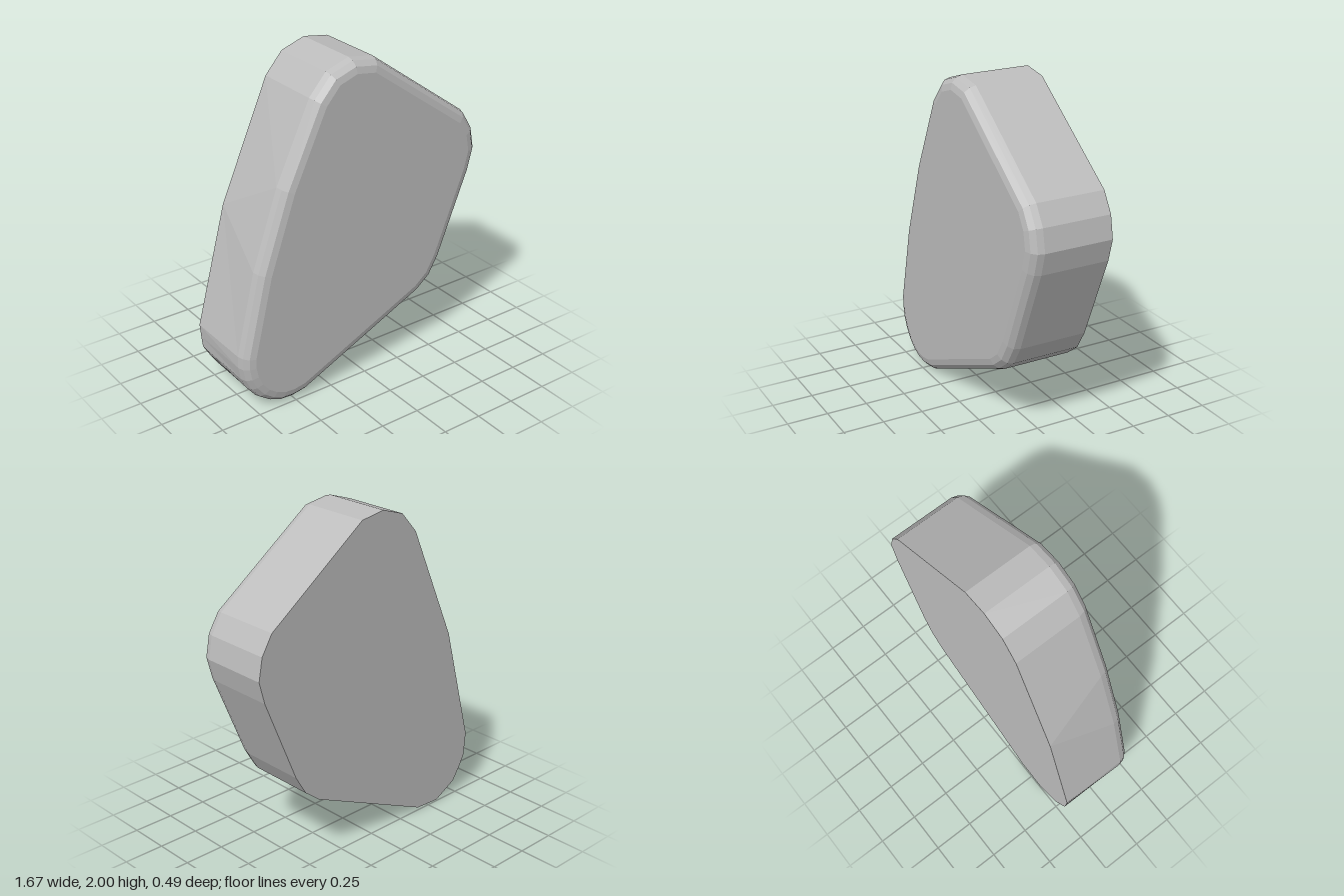
import * as THREE from 'three';

// Front outline, counterclockwise; optional 3rd/4th values give the matching back corner where it differs
const OUTLINE = [
  [-0.41, 0.02], [-0.5, 0.005, -0.495, 0.015], [-0.58, 0.01], [-0.66, 0.04, -0.655, 0.05],
  [-0.73, 0.09], [-0.785, 0.16, -0.775, 0.158], [-0.82, 0.235], [-0.835, 0.315, -0.828, 0.31],
  [-0.835, 0.39], [-0.715, 0.89, -0.64, 1.12], [-0.55, 1.36, -0.64, 1.12],
  [-0.33, 1.825], [-0.22, 1.95], [-0.07, 2.0], [0.09, 1.975],
  [0.74, 1.505], [0.81, 1.39], [0.835, 1.255], [0.8, 1.12],
  [0.59, 0.6], [0.52, 0.48], [0.42, 0.4],
].reverse();

const HALF_DEPTH = 0.247;
const BEVEL = 0.075;
const BEVEL_STEPS = 3;

// Move every corner inwards so that each edge shifts by the same distance
function inset(points, d) {
  const n = points.length;
  const normal = (a, b) => new THREE.Vector2(a[1] - b[1], b[0] - a[0]).normalize();
  return points.map((p, i) => {
    const n1 = normal(points[(i + n - 1) % n], p);
    const n2 = normal(p, points[(i + 1) % n]);
    const k = d / (1 + n1.dot(n2));
    return [p[0] + (n1.x + n2.x) * k, p[1] + (n1.y + n2.y) * k];
  });
}

const ring = (points, z) => points.map(([x, y]) => new THREE.Vector3(x, y, z));

function buildGeometry(triangles) {
  const geometry = new THREE.BufferGeometry().setFromPoints(triangles);
  geometry.computeVertexNormals();
  return geometry;
}

// Strip of faces between two matching rings, back ring first
function wall(a, b) {
  const out = [];
  const add = (p, q, r) => {
    if (p.distanceTo(q) > 1e-5 && q.distanceTo(r) > 1e-5 && r.distanceTo(p) > 1e-5) out.push(p, q, r);
  };
  a.forEach((p, i) => {
    const j = (i + 1) % a.length;
    add(p, a[j], b[j]);
    add(p, b[j], b[i]);
  });
  return out;
}

// Flat cap fanned around the centre
function cap(points, flip) {
  const centre = points.reduce((s, p) => s.add(p), new THREE.Vector3()).divideScalar(points.length);
  return points.flatMap((p, i) => {
    const q = points[(i + 1) % points.length];
    return flip ? [centre, q, p] : [centre, p, q];
  });
}

export function createModel() {
  const group = new THREE.Group();
  group.name = 'wallHold';
  const grey = new THREE.MeshStandardMaterial({ color: 0xbcbcbc, flatShading: true });
  grey.name = 'light grey';

  const front = OUTLINE.map(([x, y]) => [x, y]);
  const back = OUTLINE.map(([x, y, bx = x, by = y]) => [bx, by]);
  const backRing = ring(back, -HALF_DEPTH);

  // Rounded front rim as a quarter circle of rings
  const rim = [];
  for (let i = 0; i <= BEVEL_STEPS; i++) {
    const t = (i / BEVEL_STEPS) * Math.PI / 2;
    rim.push(ring(inset(front, BEVEL * (1 - Math.cos(t))), HALF_DEPTH - BEVEL * (1 - Math.sin(t))));
  }

  const parts = {
    sideWall: wall(backRing, rim[0]),
    roundedRim: rim.slice(1).flatMap((r, i) => wall(rim[i], r)),
    frontFace: cap(rim[BEVEL_STEPS], false),
    backFace: cap(backRing, true),
  };
  for (const [name, triangles] of Object.entries(parts)) {
    const mesh = new THREE.Mesh(buildGeometry(triangles), grey);
    mesh.name = name;
    group.add(mesh);
  }
  return group;
}
